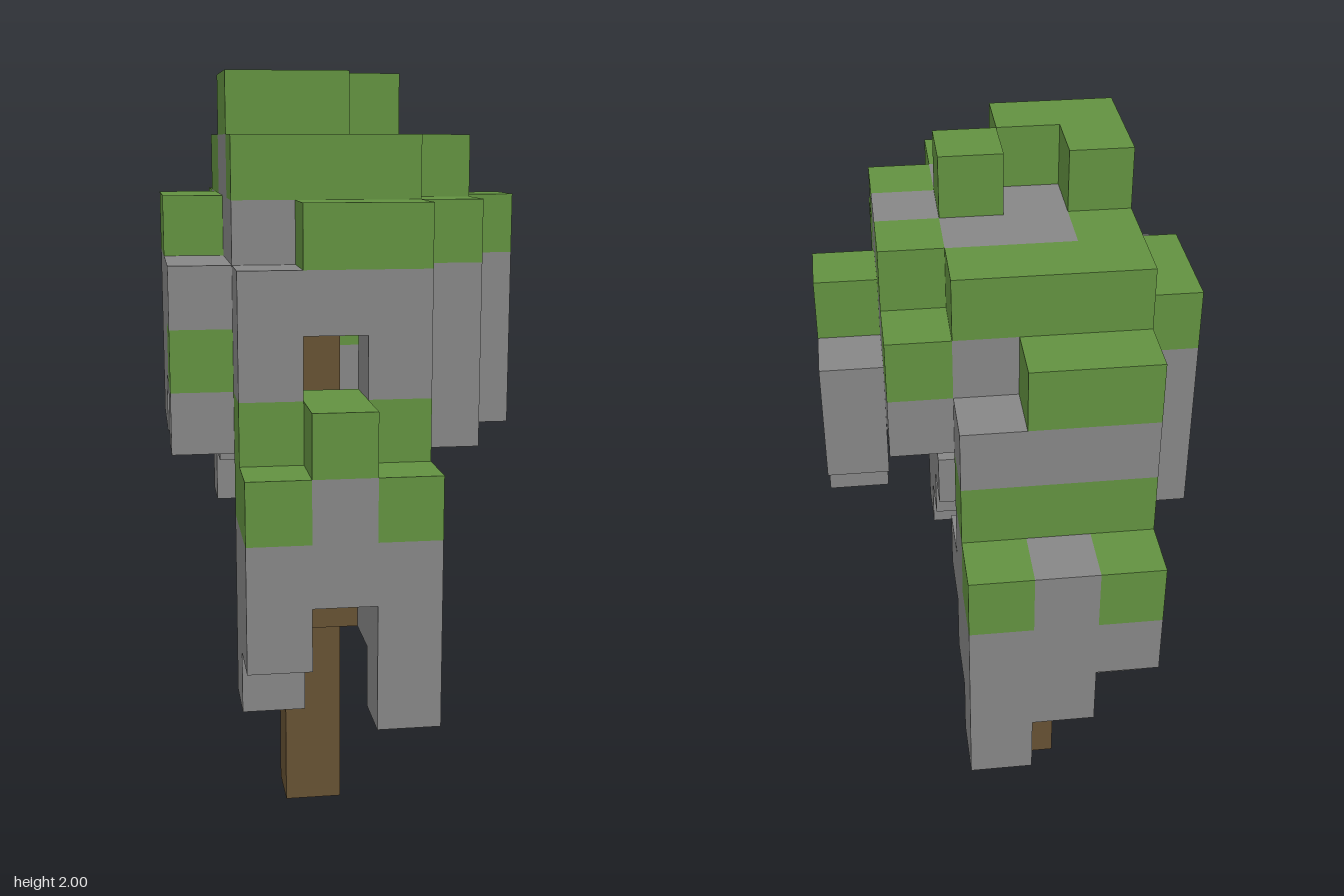
import * as THREE from 'three';

// Block tree on a 6 x 13 x 9 grid
const U = 2 / 13;

export function createModel() {
  const tree = new THREE.Group();
  tree.name = 'blockTree';
  const mat = (name, color) => {
    const m = new THREE.MeshStandardMaterial({ color });
    m.name = name;
    return m;
  };
  const green = mat('leafGreen', 0x629140);
  const grey = mat('stoneGrey', 0x868686);
  const brown = mat('barkBrown', 0x665133);

  // Each block: first and last cell (inclusive) along x, y and z
  const part = (name, material, blocks) => {
    const group = new THREE.Group();
    group.name = name;
    for (const [x0, x1, y0, y1, z0, z1] of blocks) {
      const nx = x1 - x0 + 1, ny = y1 - y0 + 1, nz = z1 - z0 + 1;
      const mesh = new THREE.Mesh(new THREE.BoxGeometry(nx * U, ny * U, nz * U), material);
      mesh.position.set((x0 + nx / 2 - 3) * U, (y0 + ny / 2) * U, (z0 + nz / 2 - 4.5) * U);
      mesh.name = name + 'Block';
      group.add(mesh);
    }
    tree.add(group);
  };

  // Trunk and its two branches
  part('trunk', brown, [[2, 2, 0, 8, 4, 4]]);
  part('frontBranch', brown, [[2, 2, 4, 4, 5, 6]]);
  part('backBranch', brown, [[2, 2, 5, 5, 2, 3]]);

  // Stepped crown
  part('crownCore', grey, [
    [1, 3, 9, 9, 1, 7], [4, 4, 9, 9, 2, 6],
    [1, 3, 10, 10, 2, 6], [4, 4, 10, 10, 3, 5],
    [2, 3, 11, 11, 3, 3], [1, 4, 11, 11, 4, 4], [1, 3, 11, 11, 5, 5],
  ]);
  part('crownLeaves', green, [
    [1, 2, 10, 10, 1, 1], [4, 4, 10, 10, 2, 2], [4, 4, 10, 10, 6, 6], [2, 3, 10, 10, 7, 7],
    [1, 3, 11, 11, 2, 2], [1, 1, 11, 11, 3, 3], [4, 4, 11, 11, 3, 3],
    [4, 4, 11, 11, 5, 5], [1, 3, 11, 11, 6, 6],
    [1, 1, 12, 12, 4, 5], [2, 2, 12, 12, 5, 5], [3, 3, 12, 12, 4, 4],
  ]);

  // Columns hanging around the crown
  part('hangingColumns', grey, [
    [0, 0, 7, 9, 3, 4], [0, 0, 8, 9, 5, 5], [0, 0, 9, 9, 6, 6], [0, 0, 7, 7, 6, 6],
    [5, 5, 7, 9, 4, 4], [5, 5, 8, 9, 3, 3],
    [4, 4, 8, 8, 5, 5], [4, 4, 7, 8, 6, 6],
    [1, 1, 8, 8, 7, 7], [3, 3, 8, 8, 7, 7],
  ]);
  part('hangingLeaves', green, [
    [0, 0, 10, 10, 3, 4], [0, 0, 8, 8, 6, 6], [5, 5, 10, 10, 4, 4], [1, 3, 8, 8, 1, 1],
  ]);

  // Low clump at the front
  part('frontClump', grey, [
    [1, 1, 3, 5, 7, 7], [1, 1, 4, 5, 8, 8], [2, 2, 5, 6, 7, 8],
    [3, 3, 4, 6, 7, 7], [3, 3, 3, 5, 8, 8], [3, 3, 5, 5, 6, 6], [2, 2, 6, 6, 6, 6],
  ]);
  part('frontClumpLeaves', green, [
    [1, 3, 7, 7, 7, 7], [2, 2, 7, 7, 8, 8], [1, 1, 6, 6, 7, 8], [3, 3, 6, 6, 8, 8],
  ]);

  // Low clump at the back
  part('backClump', grey, [
    [1, 1, 6, 6, 0, 0], [2, 2, 5, 7, 0, 0], [3, 3, 4, 6, 0, 0],
    [1, 3, 5, 7, 1, 1], [1, 3, 6, 6, 2, 2], [1, 1, 7, 7, 2, 2],
  ]);
  part('backClumpLeaves', green, [[1, 1, 7, 7, 0, 0], [3, 3, 7, 7, 0, 0]]);

  return tree;
}
